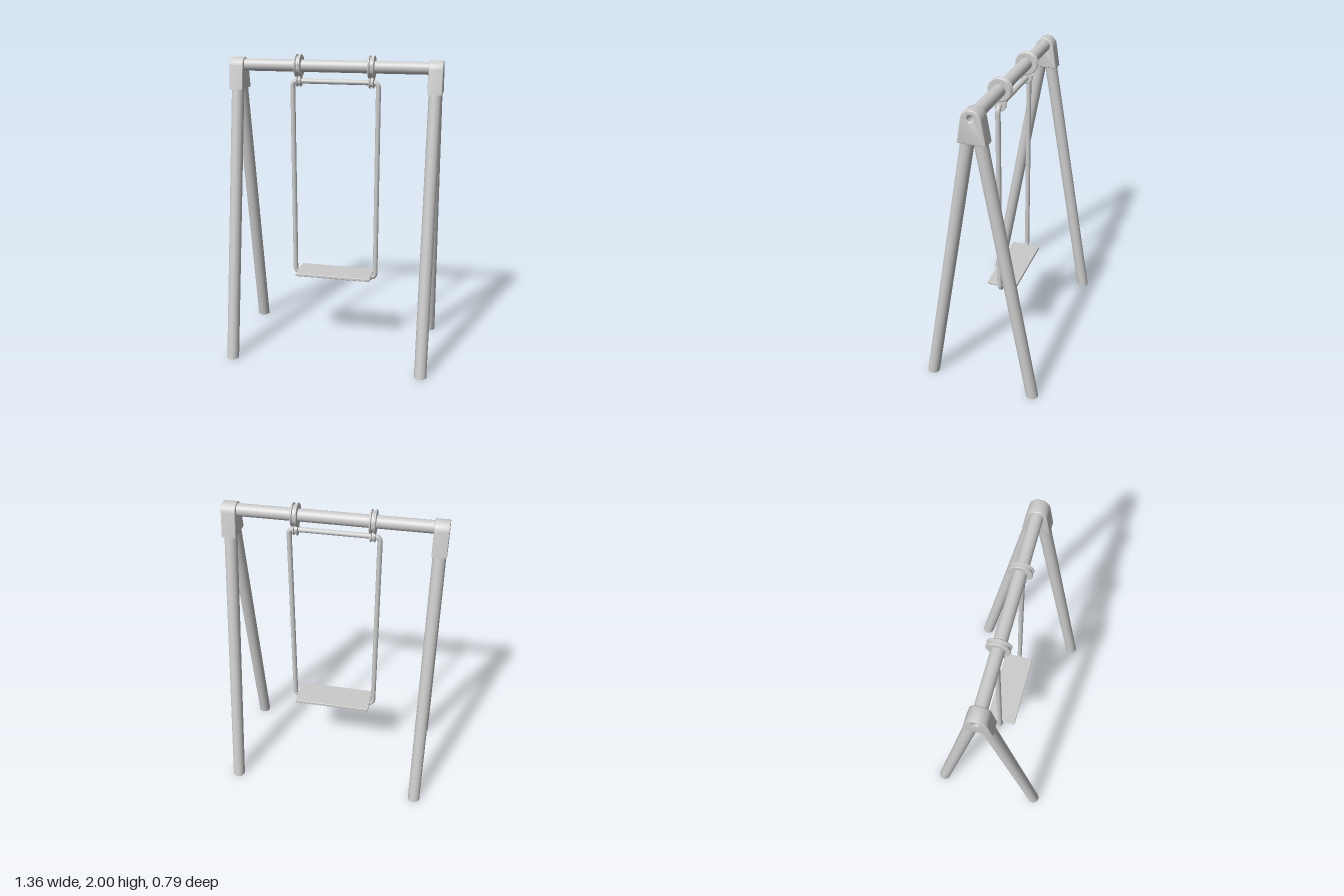
import * as THREE from 'three';
import { toCreasedNormals } from 'three/addons/utils/BufferGeometryUtils.js';
import { RoundedBoxGeometry } from 'three/addons/geometries/RoundedBoxGeometry.js';

const AXIS_Y = 1.927; // height of the top beam
const POST_X = 0.635;

const solid = new THREE.MeshStandardMaterial({ color: 0xcccccc });
const open = new THREE.MeshStandardMaterial({ color: 0xcccccc, side: THREE.DoubleSide });

function part(name, geometry, material = solid) {
  const mesh = new THREE.Mesh(geometry, material);
  mesh.name = name;
  return mesh;
}

// Leaning pipe cut level with the ground
function legGeometry() {
  const height = 1.85, lean = -0.177;
  return new THREE.CylinderGeometry(0.04, 0.04, height, 32, 1, true)
    .translate(0, height / 2, 0)
    .applyMatrix4(new THREE.Matrix4().makeShear(0, 0, 0, lean, 0, 0))
    .translate(0, 0, 0.353);
}

// Tapered block with a round top and a through hole
function bracketGeometry() {
  const shape = new THREE.Shape();
  shape.moveTo(-0.085, 1.775);
  shape.lineTo(0.085, 1.775);
  shape.absarc(0, 1.915, 0.061, 0.17, Math.PI - 0.17, false);
  shape.closePath();
  const hole = new THREE.Path();
  hole.absarc(0, AXIS_Y, 0.019, 0, Math.PI * 2, true);
  shape.holes.push(hole);
  const bevel = 0.006, width = 0.09;
  const geometry = new THREE.ExtrudeGeometry(shape, {
    depth: width - 2 * bevel, curveSegments: 24, bevelThickness: bevel,
    bevelSize: bevel, bevelOffset: -bevel, bevelSegments: 3,
  });
  geometry.translate(0, 0, bevel - width / 2).rotateY(Math.PI / 2);
  return toCreasedNormals(geometry, 0.6);
}

// Grooved ring lying along x
function collarGeometry(inner, outer, halfWidth) {
  const half = [
    [inner, 1], [outer - 0.004, 1], [outer, 0.85], [outer, 0.55], [outer - 0.009, 0.35],
  ];
  const profile = [
    ...half.map(([r, t]) => new THREE.Vector2(r, -t * halfWidth)),
    ...half.reverse().map(([r, t]) => new THREE.Vector2(r, t * halfWidth)),
    new THREE.Vector2(inner, -halfWidth),
  ];
  return toCreasedNormals(new THREE.LatheGeometry(profile, 40).rotateZ(Math.PI / 2), 0.5);
}

// Closed rectangular loop of pipe with rounded corners
function loopGeometry() {
  const x = 0.278, bottom = 0.516, top = 1.83, r = 0.035;
  const path = new THREE.CurvePath();
  const corners = [[x, bottom], [x, top], [-x, top], [-x, bottom]]
    .map(([a, b]) => new THREE.Vector3(a, b, 0));
  const toward = (a, b) => b.clone().sub(a).setLength(r).add(a);
  corners.forEach((corner, i) => {
    const before = corners[(i + 3) % 4], after = corners[(i + 1) % 4];
    path.add(new THREE.QuadraticBezierCurve3(toward(corner, before), corner, toward(corner, after)));
    path.add(new THREE.LineCurve3(toward(corner, after), toward(after, corner)));
  });
  return new THREE.TubeGeometry(path, 400, 0.016, 14, true);
}

export function createModel() {
  const model = new THREE.Group();
  model.name = 'swingSet';

  // Hollow top beam, seen through the bracket holes
  const beam = part('topBeam',
    new THREE.CylinderGeometry(0.039, 0.039, 1.22, 32, 1, true).rotateZ(Math.PI / 2), open);
  beam.position.y = AXIS_Y;
  model.add(beam);

  // End frames: bracket and two splayed legs
  const leg = legGeometry(), bracket = bracketGeometry();
  for (const [side, sign] of [['left', 1], ['right', -1]]) {
    const frame = new THREE.Group();
    frame.name = side + 'Frame';
    frame.position.x = sign * POST_X;
    const backLeg = part('backLeg', leg, open);
    backLeg.rotation.y = Math.PI;
    frame.add(part('bracket', bracket), part('frontLeg', leg, open), backLeg);
    model.add(frame);
  }

  // Hangers: a large collar on the beam and a small one on the swing loop
  const beamCollar = collarGeometry(0.037, 0.072, 0.02);
  const loopCollar = collarGeometry(0.014, 0.036, 0.016);
  for (const [side, sign] of [['left', 1], ['right', -1]]) {
    const hanger = new THREE.Group();
    hanger.name = side + 'Hanger';
    hanger.position.x = sign * 0.235;
    const upper = part('beamCollar', beamCollar);
    upper.position.y = AXIS_Y;
    const lower = part('loopCollar', loopCollar);
    lower.position.y = 1.83;
    hanger.add(upper, lower);
    model.add(hanger);
  }

  // Swing: pipe loop and seat board
  const swing = new THREE.Group();
  swing.name = 'swing';
  const seat = part('seat', new RoundedBoxGeometry(0.512, 0.02, 0.2, 2, 0.004));
  seat.position.y = 0.53;
  swing.add(part('swingLoop', loopGeometry()), seat);
  model.add(swing);

  return model;
}
